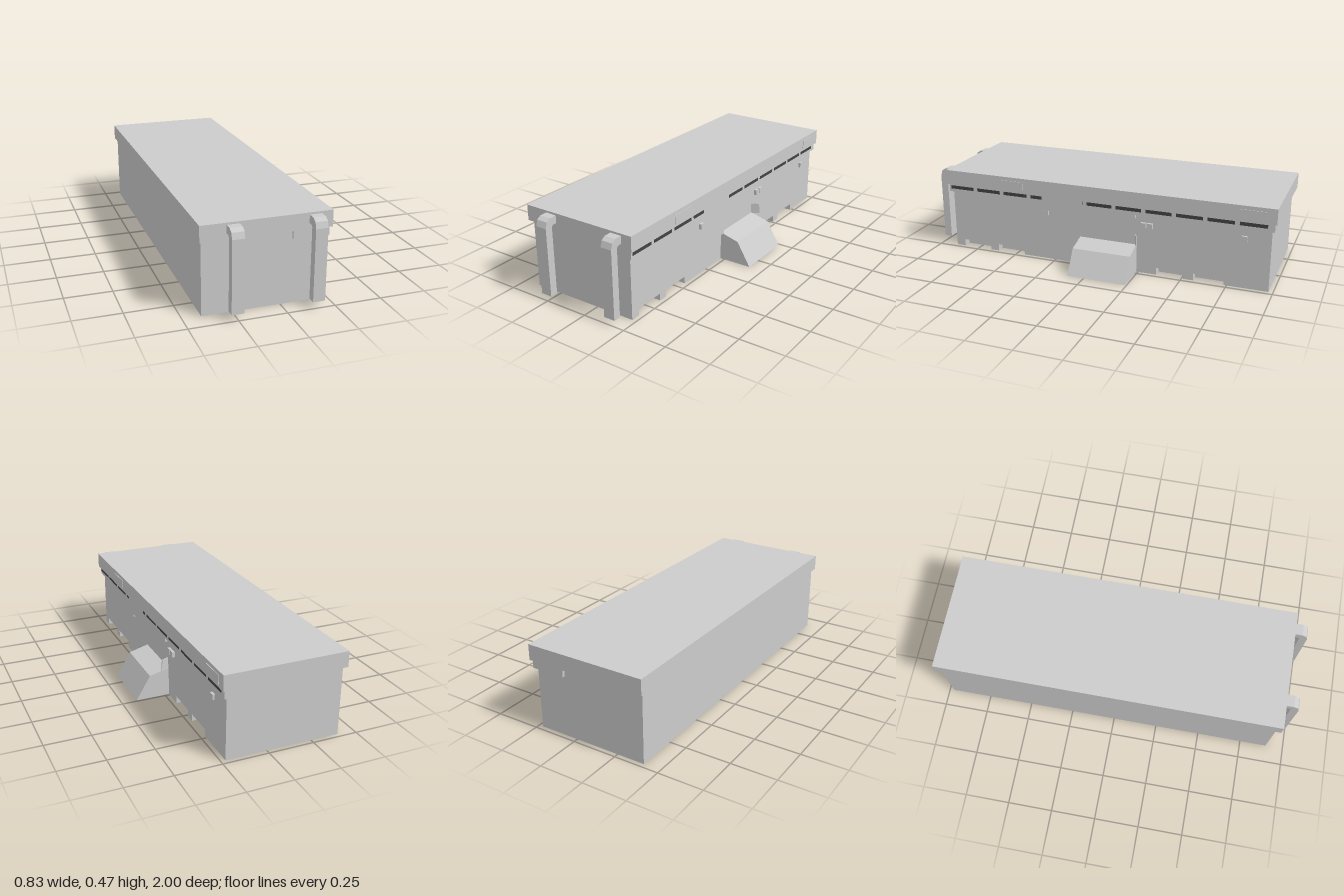
import * as THREE from 'three';

const grey = new THREE.MeshStandardMaterial({ color: 0xcccccc, flatShading: true });
const thin = new THREE.MeshStandardMaterial({ color: 0xcccccc, flatShading: true, side: THREE.DoubleSide });
const dark = new THREE.MeshStandardMaterial({ color: 0x444444 });

export function createModel() {
  const group = new THREE.Group();

  const add = (name, geometry, material = grey) => {
    const mesh = new THREE.Mesh(geometry, material);
    mesh.name = name;
    group.add(mesh);
    return mesh;
  };
  // Box given by its limits on each axis
  const box = (name, x0, x1, y0, y1, z0, z1, material) => {
    const mesh = add(name, new THREE.BoxGeometry(x1 - x0, y1 - y0, z1 - z0), material);
    mesh.position.set((x0 + x1) / 2, (y0 + y1) / 2, (z0 + z1) / 2);
    return mesh;
  };
  // Thin panel facing the model's left (+x)
  const panel = (name, x, y0, y1, z0, z1) => {
    const mesh = add(name, new THREE.PlaneGeometry(z1 - z0, y1 - y0), thin);
    mesh.rotation.y = Math.PI / 2;
    mesh.position.set(x, (y0 + y1) / 2, (z0 + z1) / 2);
    return mesh;
  };
  const extrude = (points, depth) => new THREE.ExtrudeGeometry(
    new THREE.Shape(points.map(([x, y]) => new THREE.Vector2(x, y))),
    { depth, bevelEnabled: false });

  // Main volumes
  const floorY = 0.04;
  box('body', -0.405, 0.225, floorY, 0.388, -0.975, 0.9);
  box('lid', -0.418, 0.255, 0.387, 0.473, -1, 0.925);
  box('ledge', 0.055, 0.243, 0.342, 0.387, -0.99, 0.915);

  // Skirt below the floor: outline with pockets, open behind the ramp
  const side = 0.225, inner = 0.18;
  const outline = [[0.04, 0.095], [side, 0.095]];
  const pocket = (a, b) => outline.push([side, a], [inner, a], [inner, b], [side, b]);
  pocket(0.45, 0.62);
  pocket(0.67, 0.845);
  outline.push([side, 0.9], [-0.405, 0.9], [-0.405, -0.975], [side, -0.975]);
  pocket(-0.735, -0.565);
  pocket(-0.51, -0.355);
  outline.push([side, -0.24], [0.04, -0.24]);
  const positions = [], index = [];
  outline.forEach(([x, z], i) => {
    positions.push(x, 0, z, x, floorY, z);
    const k = 2 * i;
    if (i) index.push(k - 2, k - 1, k, k, k - 1, k + 1);
  });
  const skirt = new THREE.BufferGeometry();
  skirt.setAttribute('position', new THREE.Float32BufferAttribute(positions, 3));
  skirt.setIndex(index);
  skirt.computeVertexNormals();
  add('skirt', skirt, thin);

  // Row of dark slots along the ledge
  for (let i = 0; i < 11; i++) {
    const z = 0.83 - i * 0.171;
    box('ledgeSlot', 0.24, 0.2445, 0.36, 0.379, z - 0.073, z + 0.073, dark);
  }

  // Bent pipes on the front
  const pipe = [[0.957, 0.035], [1, 0.035], [1, 0.415], [0.99, 0.447], [0.967, 0.462],
    [0.92, 0.462], [0.92, 0.42], [0.948, 0.42], [0.957, 0.41]];
  for (const x of [-0.222, 0.195]) {
    const mesh = add('frontPipe', extrude(pipe, 0.064));
    mesh.rotation.y = -Math.PI / 2;
    mesh.position.x = x;
  }

  // Sloped ramp block at the entrance
  const ramp = add('ramp', extrude([[0.225, 0], [0.415, 0], [0.335, 0.133], [0.225, 0.163]], 0.335));
  ramp.position.z = -0.24;

  // Angled flap standing behind the ramp
  const flap = add('flap', extrude([[0, 0], [0.052, 0], [0.046, 0.06], [0, 0.06]], 0.004));
  flap.position.set(0.225, 0.164, -0.235);
  flap.rotation.y = 0.45;

  // Fittings over the entrance and on the wall
  box('doorLintel', 0.225, 0.243, 0.32, 0.342, -0.235, 0.07);
  for (const z of [0.3, -0.28, -0.318, -0.835])
    box('wallLamp', 0.225, 0.24, 0.268, 0.298, z - 0.015, z + 0.015);

  // Panels and signs
  panel('hangingSign', 0.2575, 0.305, 0.415, 0.07, 0.315);
  panel('wideBanner', 0.246, 0.145, 0.36, 0.605, 0.695);
  panel('narrowBanner', 0.246, 0.163, 0.307, 0.095, 0.17);
  panel('wallPoster', 0.229, 0.15, 0.205, 0.34, 0.46);
  panel('wallPoster', 0.229, 0.14, 0.2, 0.212, 0.332);
  panel('wallPoster', 0.229, 0.135, 0.182, -0.355, -0.285);
  panel('lampPlate', 0.228, 0.26, 0.342, -0.895, -0.81);
  box('lidPlate', 0.25, 0.258, 0.403, 0.452, -0.95, -0.81);
  box('lidPlate', 0.25, 0.258, 0.403, 0.452, 0.43, 0.575);

  return group;
}
